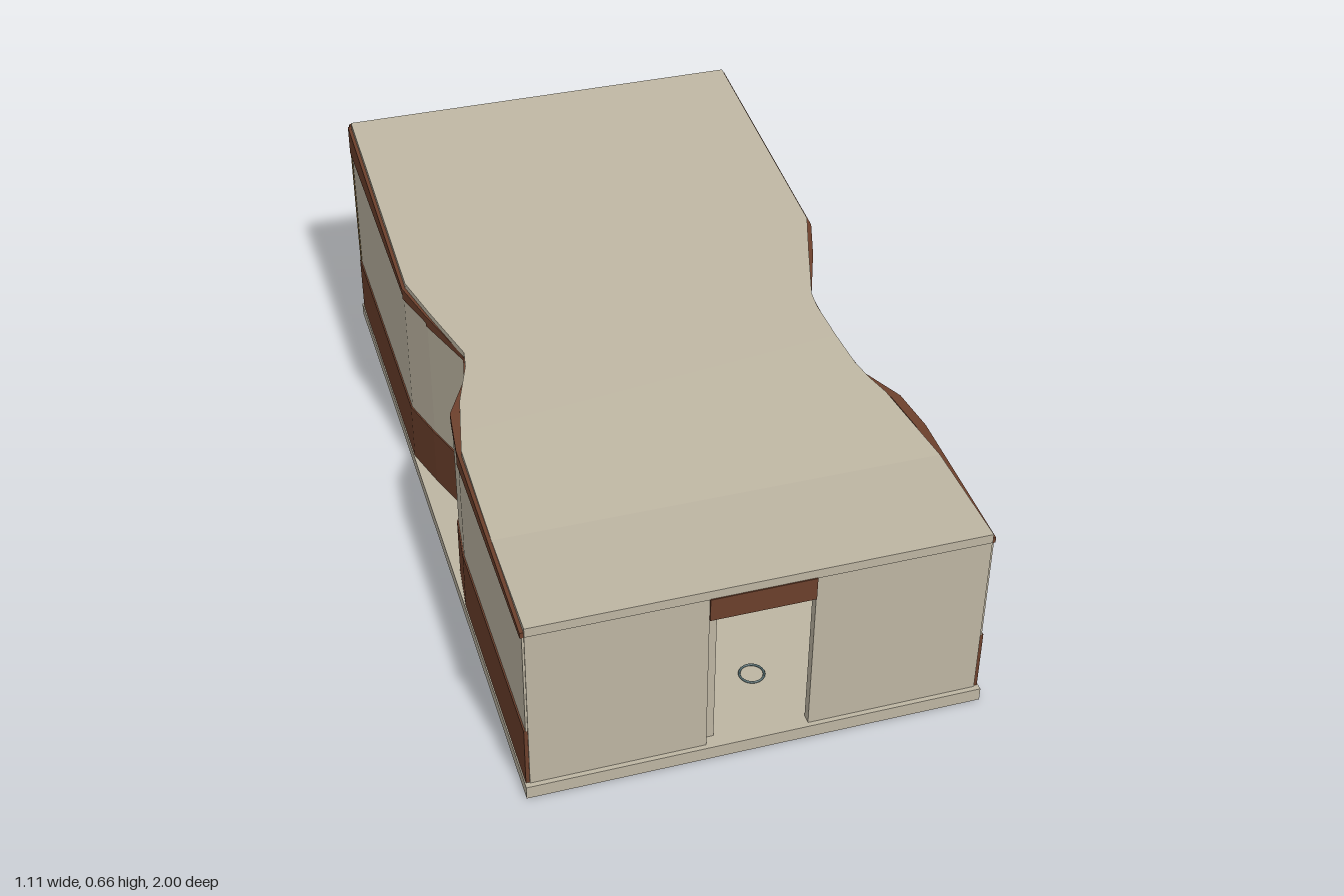
import * as THREE from 'three';
import { mergeGeometries } from 'three/addons/utils/BufferGeometryUtils.js';

const mat = (name, color) => {
  const m = new THREE.MeshStandardMaterial({ color });
  m.name = name;
  return m;
};

// Height of the roof surface: level over the entrance, rising to the rear
const roofY = z => 0.515 + Math.max(0, 0.69 - z) * 0.0868;

// Solid block over a four-cornered plan; bottom and top are height rules of z
function block(plan, bottom, top) {
  let area = 0;
  plan.forEach(([x, z], i) => {
    const [x2, z2] = plan[(i + 1) % 4];
    area += x * z2 - x2 * z;
  });
  const p = area > 0 ? [...plan].reverse() : plan;
  const lo = p.map(([x, z]) => [x, bottom(z), z]);
  const hi = p.map(([x, z]) => [x, top(z), z]);
  const tris = [hi[0], hi[1], hi[2], hi[0], hi[2], hi[3], lo[0], lo[2], lo[1], lo[0], lo[3], lo[2]];
  for (let i = 0; i < 4; i++) {
    const j = (i + 1) % 4;
    tris.push(lo[i], lo[j], hi[j], lo[i], hi[j], hi[i]);
  }
  const g = new THREE.BufferGeometry();
  g.setAttribute('position', new THREE.Float32BufferAttribute(tris.flat(), 3));
  g.computeVertexNormals();
  return g;
}

// Wall plans as [x, z, top of the pale panel that starts here]
const rightWall = [
  [0.55, 0.985, 0.485], [0.55, 0.57, 0.493], [0.53, 0.455, 0.505], [0.472, 0.35, 0.513],
  [0.452, 0.2, 0.525], [0.45, 0.04, 0.54], [0.512, -0.12, 0.55], [0.55, -0.24, 0.562], [0.55, -0.985, 0],
];
const leftWall = [
  [-0.55, 0.985, 0.485], [-0.55, 0.37, 0.513], [-0.535, 0.24, 0.525], [-0.475, 0.13, 0.535],
  [-0.457, 0.04, 0.54], [-0.515, -0.13, 0.55], [-0.55, -0.25, 0.562], [-0.55, -0.985, 0],
];

// Roof rows as [z, left x, right x]
const roofRows = [
  [0.99, -0.545, 0.545], [0.69, -0.545, 0.54], [0.45, -0.545, 0.497], [0.39, -0.545, 0.477],
  [0.33, -0.533, 0.463], [0.22, -0.51, 0.453], [0.1, -0.468, 0.446], [0.05, -0.46, 0.45],
  [-0.12, -0.51, 0.503], [-0.25, -0.545, 0.545], [-0.98, -0.545, 0.545],
];

export function createModel() {
  const model = new THREE.Group();
  model.name = 'pavilion';
  const plaster = mat('pale plaster', 0xbdb5a2);
  const timber = mat('brown timber', 0x6b3f2b);
  const glass = mat('teal glass', 0x4f6668);
  const frame = mat('tan frame', 0x8d7345);

  const add = (name, geometry, material) => {
    const m = new THREE.Mesh(geometry, material);
    m.name = name;
    model.add(m);
    return m;
  };
  // Box given by its limits on each axis
  const box = (name, material, x0, x1, y0, y1, z0, z1) =>
    add(name, new THREE.BoxGeometry(x1 - x0, y1 - y0, z1 - z0), material)
      .position.set((x0 + x1) / 2, (y0 + y1) / 2, (z0 + z1) / 2);

  box('floorSlab', plaster, -0.557, 0.557, 0, 0.035, -1, 1);

  // Folded roof with a waist
  const roofParts = [];
  for (let i = 0; i < roofRows.length - 1; i++) {
    const [z, l, r] = roofRows[i], [z2, l2, r2] = roofRows[i + 1];
    roofParts.push(block([[l, z], [r, z], [r2, z2], [l2, z2]], q => roofY(q) - 0.016, roofY));
  }
  add('roof', mergeGeometries(roofParts), plaster);

  // Bent side walls: timber base, pale panels, timber fascia under the roof
  const sideWall = (side, points) => {
    const s = Math.sign(points[0][0]);
    const base = [], panels = [], fascia = [];
    for (let i = 0; i < points.length - 1; i++) {
      const [x, z, step] = points[i], [x2, z2] = points[i + 1];
      const plan = out => [
        [x + s * out, z], [x2 + s * out, z2], [x2 - s * 0.02, z2], [x - s * 0.02, z],
      ];
      base.push(block(plan(0.004), () => 0.035, () => 0.2));
      panels.push(block(plan(0), () => 0.2, () => step));
      fascia.push(block(plan(0.004), () => step, q => roofY(q) - 0.015));
    }
    add(side + 'WallBase', mergeGeometries(base), timber);
    add(side + 'WallPanels', mergeGeometries(panels), plaster);
    add(side + 'WallFascia', mergeGeometries(fascia), timber);
  };
  sideWall('right', rightWall);
  sideWall('left', leftWall);

  // Front wall with the doorway
  for (const s of [-1, 1]) {
    const xs = [s * 0.125, s * 0.545].sort((a, b) => a - b);
    box('frontWall', plaster, xs[0], xs[1], 0.035, 0.49, 0.965, 0.988);
  }
  box('frontBeam', plaster, -0.545, 0.545, 0.49, 0.513, 0.965, 0.99);
  box('doorHeader', timber, -0.125, 0.125, 0.43, 0.492, 0.967, 0.993);

  // Rear window wall
  box('rearSill', timber, -0.548, 0.548, 0.035, 0.11, -1, -0.97);
  box('rearHeader', timber, -0.548, 0.548, 0.59, 0.645, -1, -0.97);
  box('rearGlass', glass, -0.545, 0.545, 0.11, 0.59, -0.988, -0.98);
  for (const x of [-0.54, 0, 0.54]) {
    box('windowPost', frame, x - 0.011, x + 0.011, 0.11, 0.59, -0.996, -0.972);
  }
  for (const y of [0.115, 0.585]) {
    box('windowRail', frame, -0.545, 0.545, y - 0.004, y + 0.004, -0.993, -0.976);
  }

  // Interior seen through the doorway
  box('entryPartition', plaster, -0.125, -0.1, 0.035, 0.49, 0.45, 0.965);
  box('innerPartition', plaster, -0.1, -0.09, 0.035, 0.39, 0.1, 0.45);
  box('counter', plaster, -0.2, -0.013, 0.035, 0.283, -0.1, 0.08);
  box('counterTop', timber, -0.2, -0.011, 0.283, 0.291, -0.102, 0.082);
  box('bench', timber, 0.1, 0.3, 0.035, 0.12, -0.4, 0.1);
  const ring = add('floorRing', new THREE.TorusGeometry(0.03, 0.003, 6, 20), glass);
  ring.rotation.x = Math.PI / 2;
  ring.position.set(0.05, 0.038, 0.8);

  return model;
}
